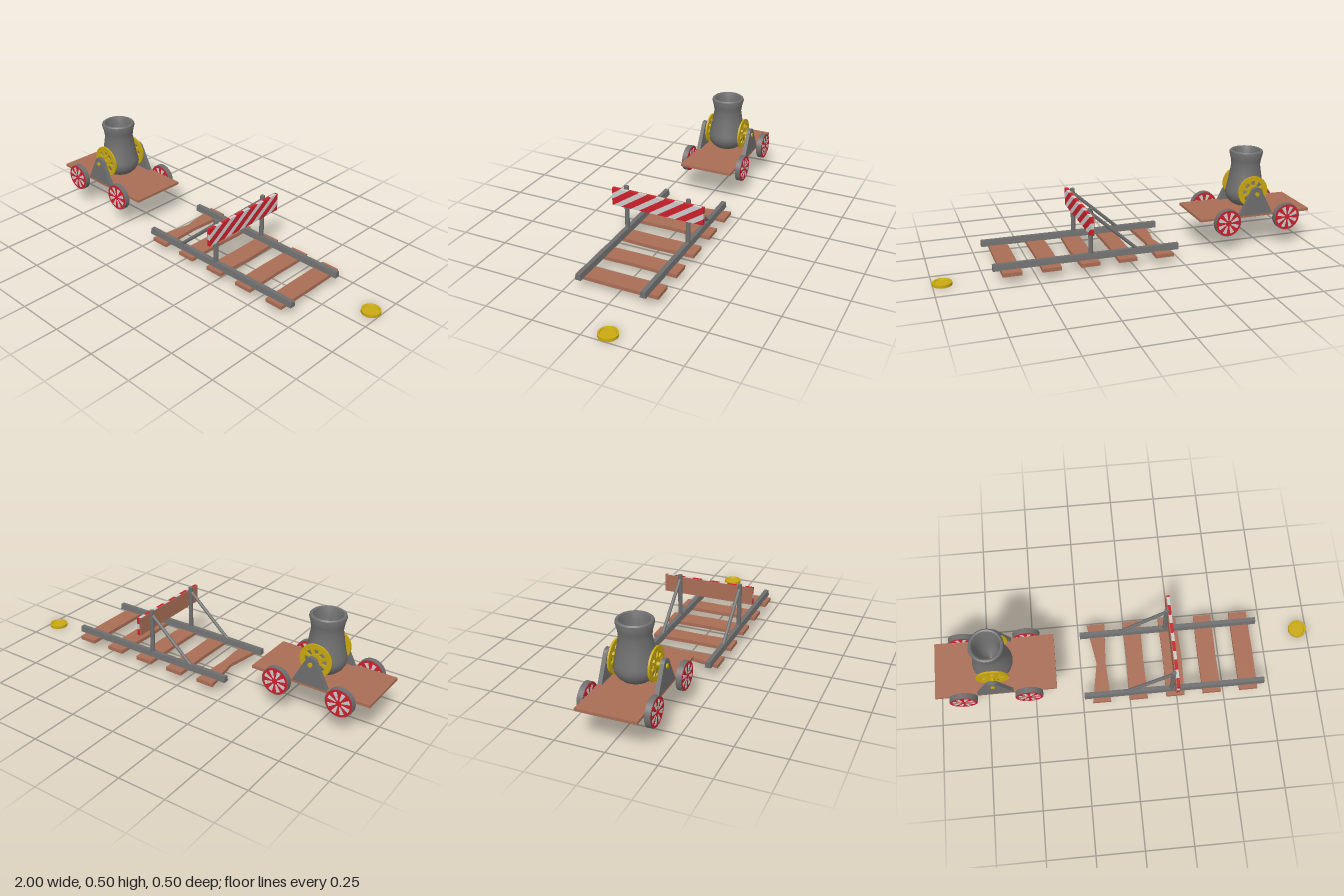
import * as THREE from 'three';
import { toCreasedNormals } from 'three/addons/utils/BufferGeometryUtils.js';

const mat = (name, color) => {
  const m = new THREE.MeshStandardMaterial({ color });
  m.name = name;
  return m;
};

export function createModel() {
  const iron = mat('iron grey', 0x6e6e6e);
  const wood = mat('brown wood', 0xa96d55);
  const gold = mat('gold', 0xc8a810);
  const red = mat('red', 0xcc202b);
  const white = mat('off white', 0xcacaca);
  const CZ = 0.01; // common centre line of cart and track

  const model = new THREE.Group();
  model.name = 'cannonCartAndTrack';

  const add = (parent, name, geo, material, x = 0, y = 0, z = 0) => {
    const m = new THREE.Mesh(geo, material);
    m.name = name;
    m.position.set(x, y, z);
    parent.add(m);
    return m;
  };
  const poly = pts => new THREE.Shape(pts.map(p => new THREE.Vector2(p[0], p[1])));
  const extrude = (shape, depth) =>
    new THREE.ExtrudeGeometry(shape, { depth, bevelEnabled: false, curveSegments: 24 });
  const lathe = (pts, seg = 40) =>
    toCreasedNormals(new THREE.LatheGeometry(pts.map(p => new THREE.Vector2(p[0], p[1])), seg), 0.6);
  const zRod = (r, len, seg = 20) => new THREE.CylinderGeometry(r, r, len, seg).rotateX(Math.PI / 2);
  // ring sector between two radii, centred on an angle
  const sector = (r0, r1, mid, half, Type = THREE.Shape) => {
    const s = new Type();
    s.absarc(0, 0, r1, mid - half, mid + half, false);
    s.absarc(0, 0, r0, mid + half, mid - half, true);
    s.closePath();
    return s;
  };

  // ---- cart ----
  const cart = new THREE.Group();
  cart.name = 'cart';
  cart.position.set(-0.69, 0, CZ);
  model.add(cart);
  add(cart, 'deck', new THREE.BoxGeometry(0.625, 0.014, 0.298), wood, 0.0025, 0.184, 0);

  // wheels: grey tyre, red faces with white wedges on both sides
  for (const x of [-0.169, 0.169]) {
    add(cart, 'wheelAxle', zRod(0.011, 0.33), gold, x, 0.164, 0);
    for (const s of [-1, 1]) {
      const wheel = new THREE.Group();
      wheel.name = 'wheel';
      wheel.position.set(x, 0.165, s * 0.162);
      cart.add(wheel);
      add(wheel, 'tyre', zRod(0.072, 0.028, 32), iron);
      add(wheel, 'wheelFaces', zRod(0.069, 0.031, 32), red);
      for (let i = 0; i < 8; i++) {
        const g = extrude(sector(0.016, 0.058, (i + 0.5) * Math.PI / 4, 0.19), 0.033);
        add(wheel, 'whiteWedge', g, white, 0, 0, -0.0165);
      }
      add(wheel, 'hub', zRod(0.012, 0.036), red);
    }
  }

  // cannon barrel with flared muzzle and funnel bore
  add(cart, 'barrel', lathe([
    [0.07, 0.213], [0.088, 0.23], [0.1, 0.252], [0.104, 0.272], [0.101, 0.292], [0.095, 0.315],
    [0.085, 0.37], [0.076, 0.425], [0.08, 0.455], [0.089, 0.49], [0.087, 0.499], [0.08, 0.505],
    [0.072, 0.502], [0.062, 0.47], [0.057, 0.43], [0.04, 0.35], [0, 0.3],
  ]), iron);
  add(cart, 'breechCap', lathe([[0, 0.196], [0.03, 0.199], [0.055, 0.205], [0.071, 0.214], [0, 0.22]]), gold);
  add(cart, 'pivotAxle', zRod(0.011, 0.312), gold, 0, 0.299, 0);

  // side brackets and gold spoked discs
  const bracket = new THREE.Shape();
  bracket.moveTo(-0.094, 0.188);
  bracket.lineTo(0.094, 0.188);
  bracket.lineTo(0.029, 0.313);
  bracket.absarc(0, 0.303, 0.031, 0.33, Math.PI - 0.33, false);
  bracket.closePath();
  const disc = new THREE.Shape();
  disc.absarc(0, 0, 0.083, 0, Math.PI * 2, false);
  for (let i = 0; i < 8; i++)
    disc.holes.push(sector(0.034, 0.058, i * Math.PI / 4, 0.24, THREE.Path));
  for (const s of [-1, 1]) {
    add(cart, 'bracket', toCreasedNormals(extrude(bracket, 0.021), 0.5), iron, 0, 0, s * 0.139 - 0.0105);
    add(cart, 'elevationDisc', toCreasedNormals(extrude(disc, 0.009), 0.5), gold, 0, 0.299, s * 0.0985 - 0.0045);
  }

  // ---- track ----
  const track = new THREE.Group();
  track.name = 'track';
  model.add(track);
  // sleepers, with [left, right] edge shift at mid length
  const warp = [[0.036, -0.012], [0.004, -0.004], [0.004, 0.008], [-0.003, -0.004], [0, 0.002]];
  warp.forEach(([l, r], i) => {
    const outline = poly([[-0.048, -0.22], [0.048, -0.22], [0.048 + r, 0], [0.048, 0.217],
      [-0.048, 0.217], [-0.048 + l, 0]]);
    add(track, 'sleeper', extrude(outline, 0.019).rotateX(Math.PI / 2), wood, -0.15 + i * 0.1945, 0.062, 0);
  });
  const railProfile = poly([[-0.016, 0.06], [0.016, 0.06], [0.011, 0.091], [-0.011, 0.091]]);
  const from = new THREE.Vector3(-0.02, 0.085, 0), to = new THREE.Vector3(0.222, 0.302, 0);
  const dir = to.clone().sub(from);
  for (const s of [-1, 1]) {
    const z = CZ + s * 0.17;
    add(track, 'rail', extrude(railProfile, 0.955).rotateY(Math.PI / 2), iron, -0.24, 0, z);
    add(track, 'signPost', new THREE.CylinderGeometry(0.012, 0.012, 0.24, 16), iron, 0.222, 0.205, z);
    const brace = add(track, 'brace', new THREE.CylinderGeometry(0.009, 0.009, dir.length(), 12), iron);
    brace.position.copy(from).add(to).multiplyScalar(0.5).setZ(z);
    brace.quaternion.setFromUnitVectors(new THREE.Vector3(0, 1, 0), dir.clone().normalize());
  }

  // ---- striped barrier board ----
  const sign = new THREE.Group();
  sign.name = 'barrierBoard';
  model.add(sign);
  add(sign, 'boardBack', new THREE.BoxGeometry(0.004, 0.095, 0.5), wood, 0.229, 0.2625, 0);
  // cut a polygon at the board's ends
  const clip = (pts, side) => pts.flatMap((p, i) => {
    const q = pts[(i + 1) % pts.length], lim = 0.25;
    const inP = p[0] * side <= lim, inQ = q[0] * side <= lim;
    const t = (lim * side - p[0]) / (q[0] - p[0]);
    const cut = [lim * side, p[1] + (q[1] - p[1]) * t];
    return [...(inP ? [p] : []), ...(inP !== inQ ? [cut] : [])];
  });
  const period = 0.1, lean = 0.14, y0 = 0.215, y1 = 0.31;
  for (let k = -4; k < 3; k++) {
    for (const [a, b, m, name] of [[0, 0.055, red, 'redStripe'], [0.055, 0.1, white, 'whiteStripe']]) {
      const u0 = k * period + a, u1 = k * period + b;
      const pts = clip(clip([[u0, y0], [u1, y0], [u1 + lean, y1], [u0 + lean, y1]], 1), -1);
      if (pts.length > 2) add(sign, name, extrude(poly(pts), 0.016).rotateY(Math.PI / 2), m, 0.231, 0, 0);
    }
  }

  // ---- coin with raised rim ----
  add(model, 'coin', lathe([[0, 0], [0.048, 0], [0.048, 0.015], [0.039, 0.015], [0.037, 0.01], [0, 0.01]]),
    gold, 0.952, 0, -0.113);

  return model;
}
